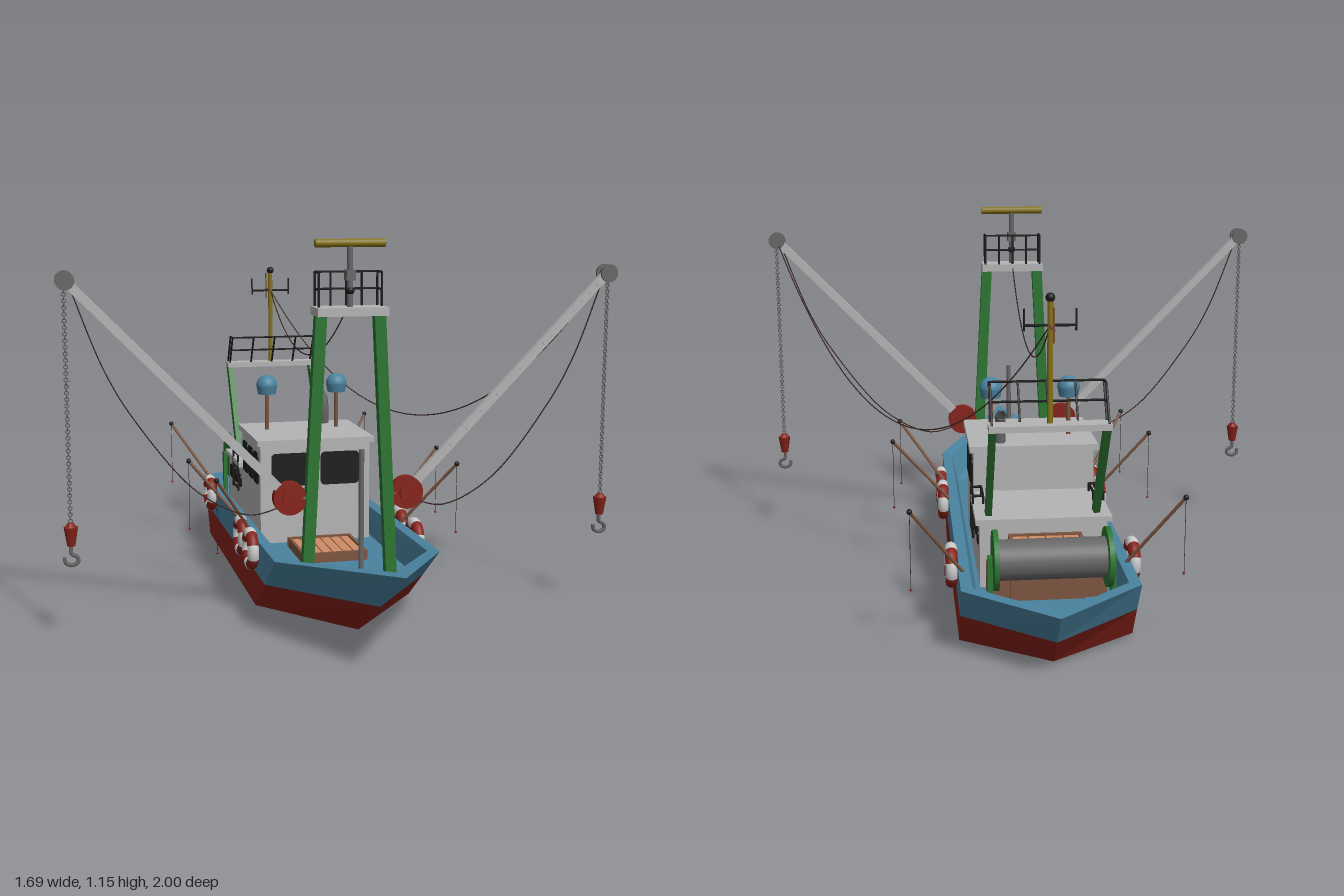
import * as THREE from 'three';

const M = (color, opts = {}) => new THREE.MeshStandardMaterial({ color, ...opts });
const V = (x, y, z) => new THREE.Vector3(x, y, z);

export function createModel() {
  const boat = new THREE.Group();
  const blue = M(0x4a839f), red = M(0x86221a), green = M(0x2c7532), grey = M(0xb4b4b4), steel = M(0x666666);
  const black = M(0x1c1c1c), olive = M(0x857218), wood = M(0xcf8b66), brown = M(0x7d5540), white = M(0xdddddd);
  const rope = M(0x3a2626);

  // ---- helpers ----
  const add = (name, geo, mat, x = 0, y = 0, z = 0, parent = boat) => {
    const m = new THREE.Mesh(geo, mat);
    m.name = name;
    m.position.set(x, y, z);
    parent.add(m);
    return m;
  };
  const box = (name, mat, x0, x1, y0, y1, z0, z1) =>
    add(name, new THREE.BoxGeometry(x1 - x0, y1 - y0, z1 - z0), mat, (x0 + x1) / 2, (y0 + y1) / 2, (z0 + z1) / 2);
  const align = (mesh, a, b) => {
    mesh.position.copy(a).add(b).multiplyScalar(0.5);
    mesh.quaternion.setFromUnitVectors(V(0, 1, 0), b.clone().sub(a).normalize());
    return mesh;
  };
  const rod = (name, mat, a, b, r, sides = 12) =>
    align(add(name, new THREE.CylinderGeometry(r, r, a.distanceTo(b), sides), mat), a, b);
  const ball = (name, mat, x, y, z, r) => add(name, new THREE.SphereGeometry(r, 16, 12), mat, x, y, z);
  const tube = (name, mat, pts, r, seg = 40) =>
    add(name, new THREE.TubeGeometry(new THREE.CatmullRomCurve3(pts), seg, r, 6), mat);
  const hang = (name, a, b, sag) => {
    const pts = [];
    for (let i = 0; i <= 16; i++) {
      const t = i / 16, p = a.clone().lerp(b, t);
      p.y -= sag * 4 * t * (1 - t);
      pts.push(p);
    }
    tube(name, rope, pts, 0.002);
  };
  const pane = (w, h, x, y, z, rotY) => {
    const s = new THREE.Shape(), r = 0.014, a = w / 2, b = h / 2;
    s.absarc(a - r, b - r, r, 0, Math.PI / 2);
    s.absarc(r - a, b - r, r, Math.PI / 2, Math.PI);
    s.absarc(r - a, r - b, r, Math.PI, Math.PI * 1.5);
    s.absarc(a - r, r - b, r, Math.PI * 1.5, Math.PI * 2);
    const g = new THREE.ExtrudeGeometry(s, { depth: 0.004, bevelEnabled: false, curveSegments: 5 });
    add('window', g, black, x, y, z).rotation.y = rotY;
  };

  // ---- hull: six-sided rings [half width, bow, front corner, aft corner, stern], each as [y, z] ----
  const ring = (w, bow, fc, ac, st) => [
    V(0, ...bow), V(w, ...fc), V(w, ...ac), V(0, ...st), V(-w, ...ac), V(-w, ...fc)];
  const bottom = ring(0.25, [0.01, 0.54], [0.01, 0.24], [0.01, -0.67], [0.01, -0.84]);
  const water = ring(0.25, [0.15, 0.765], [0.12, 0.39], [0.11, -0.735], [0.1, -0.92]);
  const sheer = ring(0.25, [0.3, 1], [0.232, 0.54], [0.208, -0.8], [0.2, -1]);
  const rim = ring(0.217, [0.287, 0.9], [0.23, 0.52], [0.208, -0.78], [0.2, -0.95]);
  const deck = ring(0.197, [0.14, 0.71], [0.14, 0.48], [0.14, -0.76], [0.14, -0.87]);
  const loft = (name, mat, rings, capLow, capHigh) => {
    const p = [];
    const tri = (...v) => v.forEach((q) => p.push(q.x, q.y, q.z));
    for (let k = 0; k + 1 < rings.length; k++)
      for (let i = 0; i < 6; i++) {
        const j = (i + 1) % 6, lo = rings[k], hi = rings[k + 1];
        tri(lo[i], lo[j], hi[j]);
        tri(lo[i], hi[j], hi[i]);
      }
    for (let i = 1; i < 5; i++) {
      if (capLow) tri(rings[0][0], rings[0][i + 1], rings[0][i]);
      const top = rings[rings.length - 1];
      if (capHigh) tri(top[0], top[i], top[i + 1]);
    }
    const g = new THREE.BufferGeometry();
    g.setAttribute('position', new THREE.Float32BufferAttribute(p, 3));
    g.computeVertexNormals();
    add(name, g, mat);
  };
  loft('lowerHull', red, [bottom, water], true, false);
  loft('upperHullAndDeck', blue, [water, sheer, rim, deck], false, true);
  box('keelFin', red, -0.004, 0.004, 0, 0.02, -0.51, -0.49);

  // ---- wheelhouse and aft cabin ----
  box('wheelhouse', grey, -0.185, 0.185, 0.14, 0.468, -0.32, 0);
  box('wheelhouseRoof', grey, -0.197, 0.197, 0.468, 0.487, -0.335, 0.015);
  box('aftCabin', grey, -0.185, 0.185, 0.14, 0.33, -0.6, -0.32);
  box('aftCabinRoof', grey, -0.197, 0.197, 0.33, 0.346, -0.612, -0.33);
  for (const s of [-1, 1]) {
    pane(0.13, 0.11, s * 0.083, 0.385, 0, 0);
    for (const [z, w] of [[-0.065, 0.075], [-0.158, 0.082], [-0.256, 0.085]]) pane(w, 0.105, s * 0.185, 0.385, z, s * Math.PI / 2);
    for (const z of [-0.375, -0.455, -0.54]) pane(0.06, 0.045, s * 0.185, 0.277, z, s * Math.PI / 2);
    // side boarding rail
    for (const z of [-0.36, -0.455]) {
      rod('boardingRail', black, V(s * 0.195, 0.24, z), V(s * 0.195, 0.37, z), 0.004, 6);
      rod('boardingRail', black, V(s * 0.195, 0.37, z), V(s * 0.165, 0.37, z), 0.004, 6);
      rod('boardingRail', black, V(s * 0.165, 0.37, z), V(s * 0.165, 0.34, z), 0.004, 6);
    }
    for (const [x, y] of [[0.195, 0.37], [0.195, 0.32], [0.195, 0.25], [0.165, 0.37]])
      rod('boardingRail', black, V(s * x, y, -0.36), V(s * x, y, -0.455), 0.004, 6);
    // antenna domes
    rod('domePole', brown, V(s * 0.122, 0.48, -0.2), V(s * 0.122, 0.62, -0.2), 0.007);
    add('domeBase', new THREE.CylinderGeometry(0.036, 0.03, 0.03, 24), blue, s * 0.122, 0.625, -0.2);
    add('dome', new THREE.SphereGeometry(0.036, 24, 10, 0, Math.PI * 2, 0, Math.PI / 2), blue, s * 0.122, 0.638, -0.2);
  }
  tube('exhaustPipe', steel, [V(0.1, 0.34, -0.285), V(0.1, 0.48, -0.285), V(0.1, 0.55, -0.288), V(0.1, 0.578, -0.305), V(0.1, 0.585, -0.345)], 0.016)
    .material = M(0x666666, { side: THREE.DoubleSide });

  // ---- wooden hatch and stern crates ----
  const planks = (name, x0, x1, y0, y1, z0, z1, n) => {
    const w = (x1 - x0) / n;
    for (let i = 0; i < n; i++) box(name, wood, x0 + i * w + 0.002, x0 + (i + 1) * w - 0.002, y0, y1, z0, z1);
    for (const z of [z0, z1]) box(name + 'Frame', brown, x0 - 0.006, x1 + 0.006, y0, y1 + 0.006, z - 0.005, z + 0.005);
    for (const x of [x0, x1]) box(name + 'Frame', brown, x - 0.005, x + 0.005, y0, y1 + 0.006, z0, z1);
  };
  planks('deckHatch', -0.1, 0.1, 0.14, 0.165, 0.055, 0.26, 6);
  planks('sternCrate', -0.1, 0.1, 0.14, 0.3, -0.71, -0.625, 4);
  for (const s of [-1, 1]) planks('sideCrate', s * 0.133 - 0.03, s * 0.133 + 0.03, 0.14, 0.225, -0.7, -0.625, 2);

  // ---- net drum ----
  const across = (name, mat, x, y, z, r, len) =>
    (add(name, new THREE.CylinderGeometry(r, r, len, 32), mat, x, y, z).rotation.z = Math.PI / 2);
  across('netDrum', steel, 0, 0.29, -0.79, 0.056, 0.3);
  for (const s of [-1, 1]) {
    across('netDrumFlange', green, s * 0.155, 0.29, -0.79, 0.083, 0.014);
    box('netDrumStand', green, s * 0.17 - 0.007, s * 0.17 + 0.007, 0.14, 0.3, -0.805, -0.775);
  }

  // ---- gantries ----
  const railing = (xw, y, h, zIn, zOut, lean) => {
    const P = (x, t, z) => V(x, y + h * t, z + lean * t);
    for (const t of [0.5, 1]) {
      rod('railing', black, P(-xw, t, zIn), P(xw, t, zIn), 0.0035, 6);
      for (const s of [-1, 1]) rod('railing', black, P(s * xw, t, zIn), P(s * xw, t, zOut), 0.0035, 6);
    }
    for (const x of [-1, -0.5, 0, 0.5, 1]) rod('railingPost', black, P(x * xw, 0, zIn), P(x * xw, 1, zIn), 0.0035, 6);
    for (const s of [-1, 1]) rod('railingPost', black, P(s * xw, 0, zOut), P(s * xw, 1, zOut), 0.0035, 6);
  };
  const beam = (name, mat, a, b, w, d) =>
    align(add(name, new THREE.BoxGeometry(w, a.distanceTo(b), d), mat), a, b);
  for (const s of [-1, 1]) {
    beam('foreGantryLeg', green, V(s * 0.13, 0.14, 0.43), V(s * 0.088, 0.94, 0.43), 0.034, 0.03);
    beam('aftGantryLeg', green, V(s * 0.157, 0.33, -0.545), V(s * 0.157, 0.645, -0.74), 0.018, 0.035);
  }
  box('forePlatform', grey, -0.106, 0.106, 0.928, 0.953, 0.38, 0.475);
  box('aftPlatform', grey, -0.168, 0.168, 0.638, 0.656, -0.762, -0.705);
  railing(0.095, 0.953, 0.1, 0.387, 0.435, 0);
  railing(0.16, 0.656, 0.1, -0.71, -0.755, 0.06);

  // masts
  rod('foreMast', steel, V(0, 0.94, 0.43), V(0, 1.13, 0.43), 0.009);
  ball('foreMastLamp', black, 0, 1.0, 0.43, 0.013);
  box('foreMastBracket', steel, -0.014, 0.014, 1.03, 1.06, 0.415, 0.445);
  across('foreCrossbar', olive, 0, 1.137, 0.43, 0.012, 0.21);
  rod('aftMast', olive, V(0, 0.65, -0.73), V(0, 1.0, -0.73), 0.008);
  ball('aftMastLamp', black, 0, 1.0, -0.73, 0.013);
  rod('aftAerialArm', brown, V(0, 0.925, -0.715), V(0, 0.925, -0.81), 0.005, 8);
  rod('aftAerial', brown, V(0, 0.89, -0.81), V(0, 0.985, -0.81), 0.003, 6);
  rod('aftCrossArm', black, V(-0.07, 0.925, -0.73), V(0.07, 0.925, -0.73), 0.004, 6);
  for (const s of [-1, 1]) rod('aftAerial', black, V(s * 0.07, 0.91, -0.73), V(s * 0.07, 0.97, -0.73), 0.003, 6);
  rod('bowPost', steel, V(0, 0.14, 0.565), V(0, 0.555, 0.565), 0.008);
  add('bowPostBase', new THREE.CylinderGeometry(0.04, 0.048, 0.03, 24), steel, 0, 0.155, 0.565);

  // ---- cargo booms with chains and hooks ----
  const link = new THREE.TorusGeometry(0.0055, 0.0017, 5, 10);
  for (const s of [-1, 1]) {
    const Z = 0.42, foot = V(s * 0.18, 0.39, Z), tip = V(s * 0.815, 1.04, Z);
    beam('boom', grey, foot, tip, 0.026, 0.018);
    for (let i = 1; i < 26; i++) {
      const p = foot.clone().lerp(tip, i / 26);
      add('boomRib', new THREE.BoxGeometry(0.01, 0.032, 0.022), grey, p.x, p.y, p.z).rotation.z = s * Math.PI / 4 + Math.PI / 2;
    }
    const disc = (name, mat, p, r, len) =>
      (add(name, new THREE.CylinderGeometry(r, r, len, 28), mat, p.x, p.y, p.z).rotation.x = Math.PI / 2);
    disc('boomWinch', red, foot, 0.05, 0.03);
    disc('boomWinchHub', red, foot, 0.025, 0.05);
    rod('boomWinchArm', steel, V(s * 0.11, 0.39, 0.43), foot, 0.01);
    disc('boomPulley', steel, tip, 0.018, 0.03);
    for (const d of [-0.017, 0.017]) disc('boomPulleyFlange', steel, tip.clone().add(V(0, 0, d)), 0.027, 0.008);
    const cx = s * 0.818;
    for (let i = 0; i < 75; i++)
      add('chainLink', link, steel, cx, 1.02 - i * 0.0092, Z).rotation.y = (i % 2) * Math.PI / 2;
    add('hookBlock', new THREE.CylinderGeometry(0.021, 0.012, 0.055, 10), red, cx, 0.312, Z);
    add('hookBlockCap', new THREE.CylinderGeometry(0.009, 0.017, 0.012, 10), red, cx, 0.345, Z);
    tube('hook', steel, [[0, 0.29], [0, 0.262], [0.017, 0.25], [0.018, 0.236], [0, 0.228], [-0.017, 0.236], [-0.02, 0.253]]
      .map(([x, y]) => V(cx + x, y, Z)), 0.006);
    tube('boomRope', rope, [[0.805, 1.03], [0.71, 0.78], [0.63, 0.64], [0.45, 0.42], [0.3, 0.345], [0.2, 0.365]]
      .map(([x, y]) => V(s * x, y, Z)), 0.002);
  }
  hang('mastCable', V(0, 0.94, 0.385), V(0, 0.925, -0.725), 0.185);
  hang('boomCable', V(0.815, 1.04, 0.41), V(0, 0.925, -0.73), 0.46);

  // ---- life rings, four red and four white bands each ----
  for (const s of [-1, 1]) for (const z of [0.245, 0.08, -0.555]) {
    const g = new THREE.Group();
    g.name = 'lifeRing';
    g.position.set(s * 0.266, 0.195, z);
    g.rotation.y = Math.PI / 2;
    for (let i = 0; i < 8; i++)
      add('lifeRingBand', new THREE.TorusGeometry(0.049, 0.018, 12, 8, Math.PI / 4), i % 2 ? white : red, 0, 0, 0, g)
        .rotation.z = (i + 0.5) * Math.PI / 4;
    boat.add(g);
  }

  // ---- fishing rods: base x, z then tip x, z ----
  for (const [bx, bz, tx, tz] of [[-0.23, 0.05, -0.42, 0], [-0.23, 0.19, -0.38, 0.315], [-0.23, -0.62, -0.385, -0.72],
    [0.23, 0.005, 0.43, -0.03], [0.23, 0.14, 0.405, 0.245], [0.23, -0.65, 0.385, -0.775]]) {
    rod('fishingRod', brown, V(bx, 0.2, bz), V(tx, 0.43, tz), 0.005, 8);
    ball('fishingRodTip', black, tx, 0.43, tz, 0.008);
    rod('fishingLine', rope, V(tx, 0.43, tz), V(tx, 0.21, tz), 0.0008, 4);
    ball('fishingFloat', red, tx, 0.207, tz, 0.004);
  }
  return boat;
}
